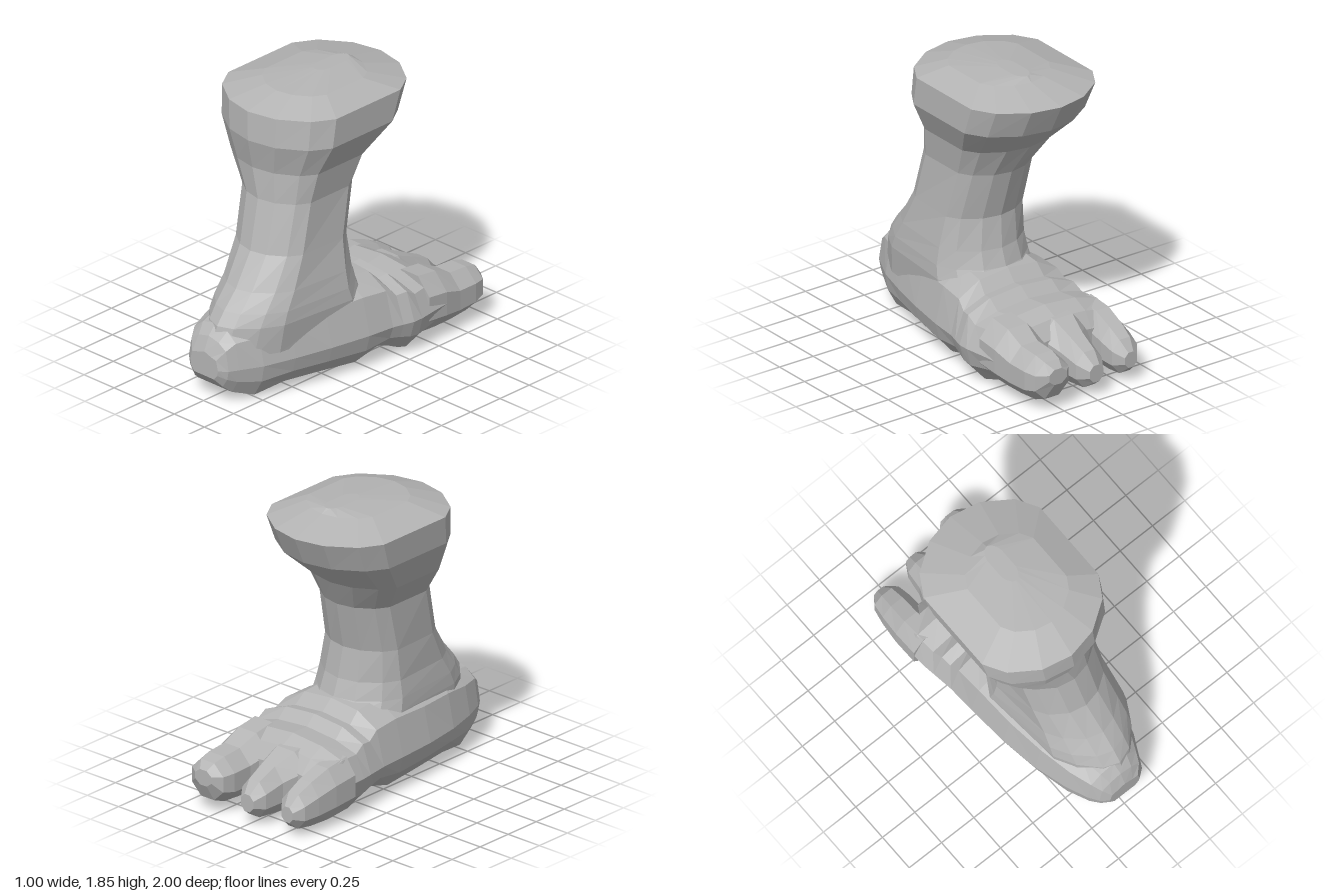
import * as THREE from 'three';

// Skin a list of rings (each a list of [x, y, z]) and close both ends; faceted normals
function loft(rings) {
  const pos = [];
  const tri = (a, b, c) => pos.push(...a, ...b, ...c);
  const n = rings[0].length;
  const centre = (r) => [0, 1, 2].map((k) => r.reduce((s, p) => s + p[k], 0) / n);
  const first = rings[0], last = rings[rings.length - 1];
  const c0 = centre(first), c1 = centre(last);
  for (let i = 0; i < n; i++) {
    const j = (i + 1) % n;
    tri(c0, first[i], first[j]);
    for (let r = 0; r < rings.length - 1; r++) {
      const a = rings[r], b = rings[r + 1];
      tri(a[i], b[i], a[j]);
      tri(a[j], b[i], b[j]);
    }
    tri(c1, last[j], last[i]);
  }
  const g = new THREE.BufferGeometry();
  g.setAttribute('position', new THREE.Float32BufferAttribute(pos, 3));
  g.computeVertexNormals();
  return g;
}

// Horizontal leg ring: a rounded octagon, narrowed towards the heel by "taper"
const quarter = [[1, 0.48], [0.82, 0.72], [0.43, 0.93]];
const back = [...quarter, [0, 1], ...quarter.slice().reverse().map(([x, z]) => [-x, z])];
const outline = [...back, ...back.map(([x, z]) => [-x, -z])];
function legRing([y, x0, x1, zFront, zBack, taper]) {
  return outline.map(([u, v]) => [
    (x0 + x1) / 2 + u * (x1 - x0) / 2 * (1 - taper * Math.max(0, v)),
    y,
    (zFront + zBack) / 2 + v * (zBack - zFront) / 2,
  ]);
}

// Vertical foot section: flat sole, chamfered edge, widest line low down, rounded top
function footSection([z, x0, x1, bottom, top]) {
  const mid = 0.235, cx = (x0 + x1) / 2, hw = (x1 - x0) / 2;
  const low = bottom + (mid - bottom) * 0.5, high = mid + (top - mid) * 0.68;
  const right = [[0.7, bottom], [0.93, low], [1, mid], [0.86, high], [0.5, top - 0.02]];
  const left = right.slice().reverse().map(([u, y]) => [-u, y]);
  return [...right, [0, top], ...left].map(([u, y]) => [cx + u * hw, y, z]);
}

// Octagonal toe section
function toeSection([z, x0, x1, y0, y1]) {
  return Array.from({ length: 8 }, (_, i) => {
    const a = (i + 0.5) * Math.PI / 4, k = 0.5 / Math.cos(Math.PI / 8);
    return [
      (x0 + x1) / 2 + Math.cos(a) * k * (x1 - x0),
      (y0 + y1) / 2 + Math.sin(a) * k * (y1 - y0),
      z,
    ];
  });
}

export function createModel() {
  const group = new THREE.Group();
  group.name = 'foot';
  const stone = new THREE.MeshStandardMaterial({ color: 0xb4b4b4 });
  stone.name = 'stoneGrey';
  const add = (name, rings) => {
    const mesh = new THREE.Mesh(loft(rings), stone);
    mesh.name = name;
    group.add(mesh);
  };

  // Leg, from inside the heel up to the flared, slightly domed top: y, x range, z range, taper
  add('leg', [
    [0.30, -0.30, 0.36, -0.25, 0.97, 0.38],
    [0.48, -0.30, 0.37, -0.18, 0.92, 0.32],
    [0.56, -0.29, 0.36, -0.13, 0.86, 0.28],
    [0.67, -0.27, 0.34, -0.09, 0.76, 0.22],
    [0.87, -0.26, 0.30, -0.06, 0.62, 0.1],
    [1.18, -0.27, 0.27, -0.14, 0.535, 0],
    [1.37, -0.40, 0.30, -0.25, 0.53, 0],
    [1.57, -0.48, 0.40, -0.48, 0.58, 0],
    [1.755, -0.50, 0.40, -0.57, 0.57, 0],
    [1.825, -0.28, 0.23, -0.30, 0.35, 0],
    [1.85, -0.08, 0.03, -0.26, 0.02, 0],
  ].map(legRing));

  // Heel, sole and instep, ending in the web between the toes: z, x range, y range
  add('footBody', [
    [1.00, -0.11, 0.12, 0.17, 0.33],
    [0.96, -0.16, 0.17, 0.12, 0.42],
    [0.90, -0.20, 0.20, 0.07, 0.48],
    [0.76, -0.26, 0.27, 0.02, 0.50],
    [0.55, -0.32, 0.33, 0.05, 0.55],
    [0.30, -0.36, 0.39, 0.04, 0.56],
    [0.03, -0.38, 0.44, 0.02, 0.58],
    [-0.15, -0.39, 0.46, 0.07, 0.56],
    [-0.22, -0.40, 0.48, 0.05, 0.49],
    [-0.29, -0.41, 0.50, 0.02, 0.50],
    [-0.36, -0.42, 0.50, 0.00, 0.44],
    [-0.50, -0.43, 0.48, 0.04, 0.45],
    [-0.60, -0.43, 0.47, 0.05, 0.40],
    [-0.67, -0.41, 0.44, 0.08, 0.31],
  ].map(footSection));

  // Toes, root to tip: z, x range, y range
  const toes = {
    bigToe: [
      [-0.45, 0.14, 0.47, 0.06, 0.44],
      [-0.60, 0.13, 0.47, 0.05, 0.42],
      [-0.73, 0.16, 0.455, 0.05, 0.36],
      [-0.87, 0.16, 0.45, 0.06, 0.35],
      [-0.95, 0.18, 0.43, 0.09, 0.33],
      [-1.00, 0.23, 0.36, 0.19, 0.29],
    ],
    middleToe: [
      [-0.45, -0.20, 0.16, 0.06, 0.42],
      [-0.62, -0.19, 0.14, 0.05, 0.40],
      [-0.76, -0.13, 0.10, 0.04, 0.34],
      [-0.89, -0.11, 0.08, 0.05, 0.28],
      [-0.96, -0.07, 0.03, 0.10, 0.21],
    ],
    littleToe: [
      [-0.45, -0.43, -0.18, 0.05, 0.39],
      [-0.62, -0.43, -0.20, 0.04, 0.37],
      [-0.76, -0.415, -0.20, 0.04, 0.32],
      [-0.86, -0.395, -0.21, 0.05, 0.27],
      [-0.92, -0.35, -0.26, 0.10, 0.20],
    ],
  };
  for (const [name, sections] of Object.entries(toes)) add(name, sections.map(toeSection));

  return group;
}
